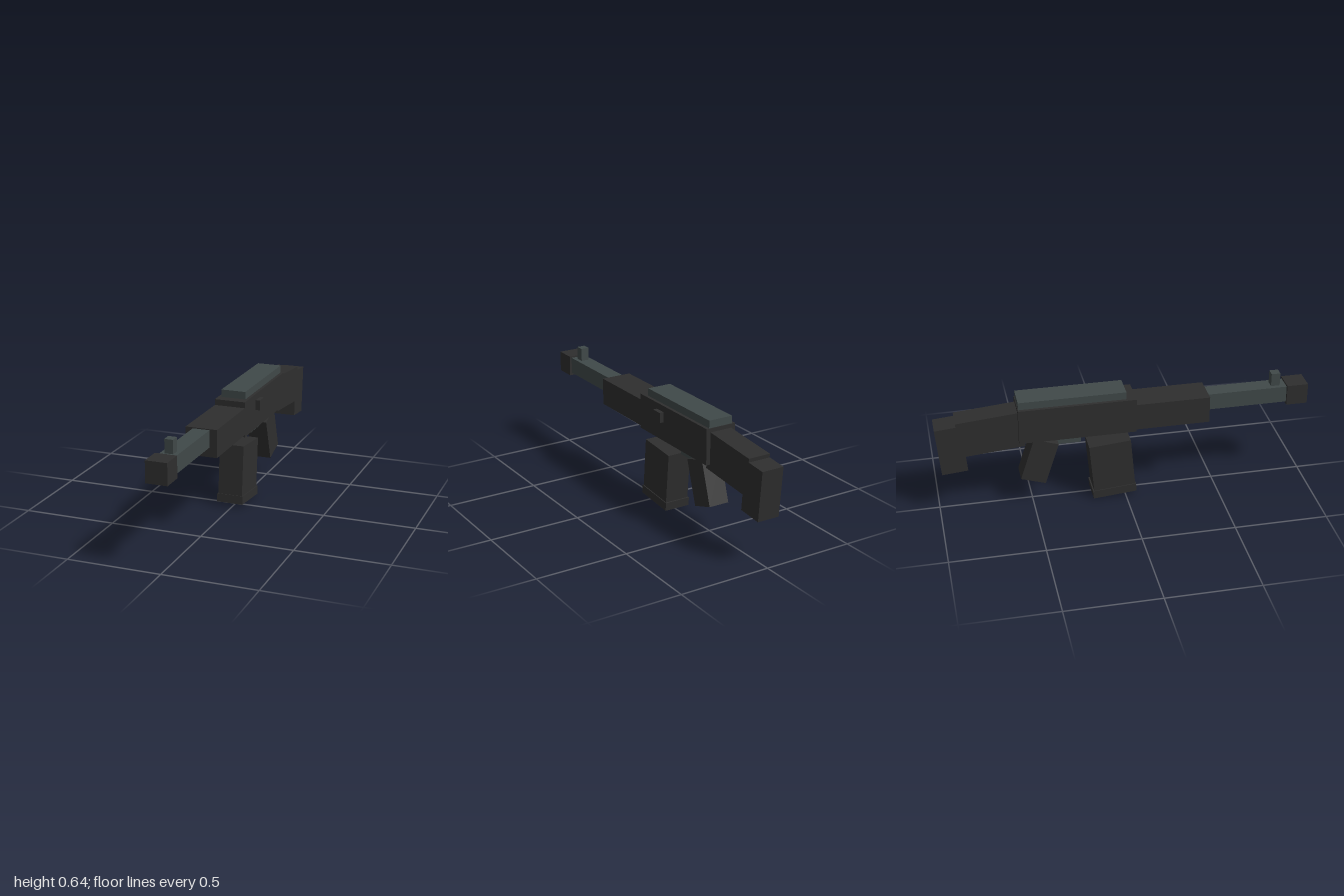
import * as THREE from 'three';

const CX = -0.0125; // centre line of the body

export function createModel() {
  const group = new THREE.Group();
  const black = new THREE.MeshStandardMaterial({ color: 0x2e2e2e });
  black.name = 'matte black';
  const steel = new THREE.MeshStandardMaterial({ color: 0x404949 });
  steel.name = 'grey steel';

  // box by centre (y, z) and size, pitched by tilt degrees about x
  function part(name, mat, [w, h, d], [y, z], tilt = 0, x = CX) {
    const mesh = new THREE.Mesh(new THREE.BoxGeometry(w, h, d), mat);
    mesh.name = name;
    mesh.position.set(x, y, z);
    mesh.rotation.x = THREE.MathUtils.degToRad(tilt);
    group.add(mesh);
  }
  // straight box by its y and z ranges
  function span(name, mat, w, y0, y1, z0, z1, x = CX) {
    part(name, mat, [w, y1 - y0, z1 - z0], [(y0 + y1) / 2, (z0 + z1) / 2], 0, x);
  }

  // body
  span('receiver', black, 0.17, 0.405, 0.598, -0.568, 0.055);
  span('topCover', steel, 0.136, 0.598, 0.639, -0.565, 0.004);
  span('handguard', black, 0.17, 0.418, 0.566, 0.055, 0.451);
  span('boltHandle', black, 0.025, 0.509, 0.564, -0.175, -0.11, 0.084);

  // barrel
  span('barrel', steel, 0.09, 0.47, 0.561, 0.451, 0.885);
  span('muzzle', black, 0.114, 0.456, 0.57, 0.885, 1);
  span('frontSight', steel, 0.045, 0.561, 0.633, 0.804, 0.852);

  // stock
  part('stock', black, [0.124, 0.204, 0.34], [0.462, -0.713], -5);
  part('butt', black, [0.124, 0.27, 0.138], [0.391, -0.92], -5);

  // magazine, grip and trigger
  part('magazine', black, [0.136, 0.3, 0.226], [0.184, -0.071], -5);
  part('magazineBase', black, [0.146, 0.046, 0.238], [0.035, -0.06], -5);
  part('grip', black, [0.115, 0.246, 0.138], [0.265, -0.461], 18);
  span('trigger', steel, 0.027, 0.335, 0.361, -0.39, -0.232);

  return group;
}
